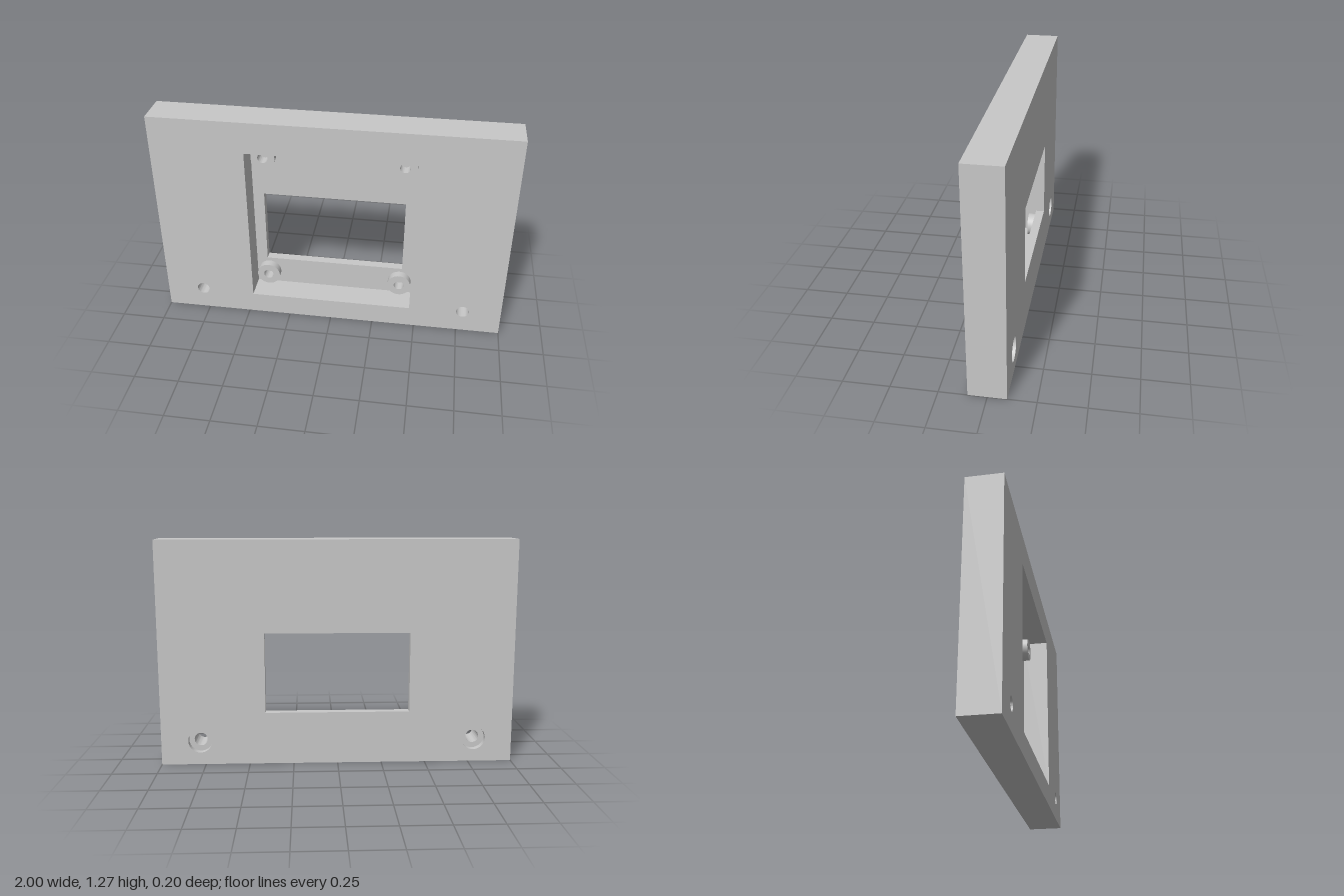
import * as THREE from 'three';
import { mergeGeometries, toCreasedNormals } from 'three/addons/utils/BufferGeometryUtils.js';

// Counter-clockwise outlines
const rect = (x0, y0, x1, y1) =>
  [[x0, y0], [x1, y0], [x1, y1], [x0, y1]].map(([x, y]) => new THREE.Vector2(x, y));

const circle = (x, y, r, n = 40) => Array.from({ length: n }, (_, i) => {
  const a = (i / n) * Math.PI * 2;
  return new THREE.Vector2(x + r * Math.cos(a), y + r * Math.sin(a));
});

// Flat face at depth z, facing +z, or -z when back is true
function face(outline, holes, z, back = false) {
  const shape = new THREE.Shape(outline);
  shape.holes = holes.map((h) => new THREE.Path(h));
  const g = new THREE.ShapeGeometry(shape);
  g.translate(0, 0, z);
  if (back) g.index.array.reverse();
  g.deleteAttribute('uv');
  g.deleteAttribute('normal');
  return g.toNonIndexed();
}

// Wall along an outline between two depths, facing outward, or inward for a hole
function wall(outline, z0, z1, inward = false) {
  const loop = inward ? [...outline].reverse() : outline;
  const pos = [];
  loop.forEach((a, i) => {
    const b = loop[(i + 1) % loop.length];
    pos.push(a.x, a.y, z0, b.x, b.y, z0, b.x, b.y, z1);
    pos.push(a.x, a.y, z0, b.x, b.y, z1, a.x, a.y, z1);
  });
  const g = new THREE.BufferGeometry();
  g.setAttribute('position', new THREE.Float32BufferAttribute(pos, 3));
  return g;
}

export function createModel() {
  const group = new THREE.Group();
  const grey = new THREE.MeshStandardMaterial({ color: 0xc8c8c8 });
  grey.name = 'lightGrey';
  const add = (name, parts) => {
    const mesh = new THREE.Mesh(toCreasedNormals(mergeGeometries(parts), 0.6), grey);
    mesh.name = name;
    group.add(mesh);
  };

  // Depths
  const front = 0.1, back = -0.1, floor = -0.05;
  const bossTop = -0.005, bossHoleEnd = -0.07, boreEnd = -0.062;

  // Outlines
  const outer = rect(-1, 0, 1, 1.27);
  const pocket = rect(-0.472, 0.127, 0.468, 1.087);
  const windowEdge = rect(-0.408, 0.298, 0.408, 0.752);
  const screwAt = [[-0.78, 0.137], [0.78, 0.137]];
  const bossAt = [[-0.395, 0.208], [0.395, 0.208], [-0.395, 1.008], [0.395, 1.008]];
  const screwHoles = screwAt.map(([x, y]) => circle(x, y, 0.037));
  const bores = screwAt.map(([x, y]) => circle(x, y, 0.068));
  const bossRims = bossAt.map(([x, y]) => circle(x, y, 0.068));

  // Plate with its front, back and edges
  add('plate', [
    face(outer, [pocket, ...screwHoles], front),
    face(outer, [windowEdge, ...bores], back, true),
    wall(outer, back, front),
  ]);

  // Recess in the front, with a window through its floor
  add('pocket', [
    wall(pocket, floor, front, true),
    face(pocket, [windowEdge, ...bossRims], floor),
  ]);
  add('windowFrame', [wall(windowEdge, back, floor, true)]);

  // Screw holes, counterbored from the back
  screwHoles.forEach((hole, i) => add('screwHole', [
    wall(hole, boreEnd, front, true),
    face(bores[i], [hole], boreEnd, true),
    wall(bores[i], back, boreEnd, true),
  ]));

  // Standoff bosses with blind holes
  bossAt.forEach(([x, y], i) => {
    const hole = circle(x, y, 0.029);
    add('boss', [
      wall(bossRims[i], floor, bossTop),
      face(bossRims[i], [hole], bossTop),
      wall(hole, bossHoleEnd, bossTop, true),
      face(hole, [], bossHoleEnd),
    ]);
  });

  return group;
}
